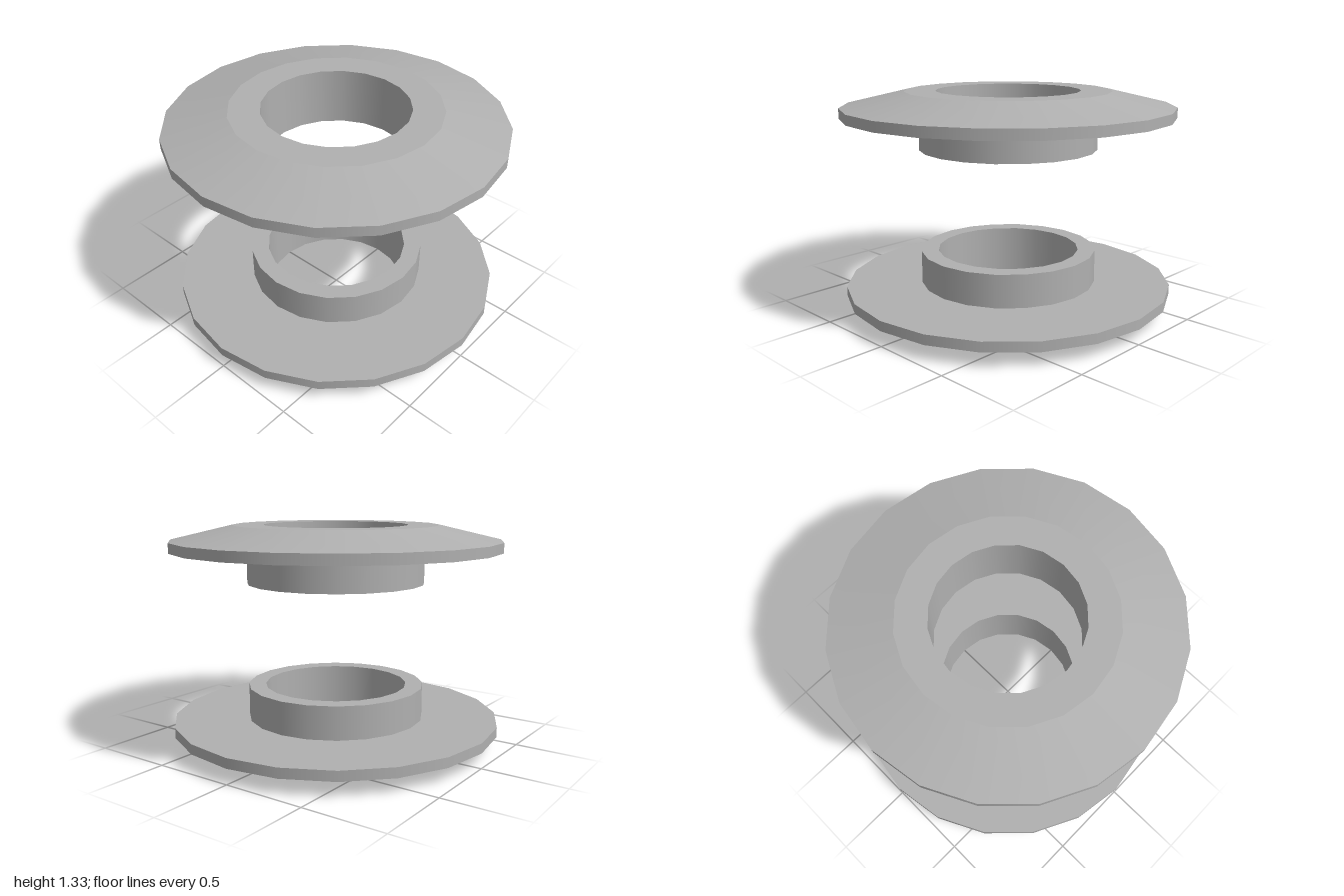
import * as THREE from 'three';
import { mergeGeometries } from 'three/addons/utils/BufferGeometryUtils.js';

const SIDES = 20;
const HEIGHT = 1.33;

// Revolve each profile segment on its own: smooth around, sharp between bands
function revolve(profile) {
  const bands = [];
  for (let i = 0; i < profile.length - 1; i++) {
    const points = [profile[i], profile[i + 1]].map(([r, y]) => new THREE.Vector2(r, y));
    bands.push(new THREE.LatheGeometry(points, SIDES));
  }
  return mergeGeometries(bands);
}

export function createModel() {
  const model = new THREE.Group();
  model.name = 'flangedBushingPair';
  const metal = new THREE.MeshStandardMaterial({ color: 0xb0b0b0 });
  metal.name = 'grey metal';

  // Hollow hub, flat flange underside, rim, bevelled face, bore
  const geometry = revolve([
    [0.435, 0.98], [0.54, 0.98], [0.54, 1.18], [1, 1.18],
    [1, 1.24], [0.62, HEIGHT], [0.435, HEIGHT], [0.435, 0.98],
  ]);

  const upper = new THREE.Mesh(geometry, metal);
  upper.name = 'upperFlange';

  // The lower flange is the same part turned over
  const lower = new THREE.Mesh(geometry, metal);
  lower.name = 'lowerFlange';
  lower.rotation.x = Math.PI;
  lower.position.y = HEIGHT;

  model.add(upper, lower);
  return model;
}
